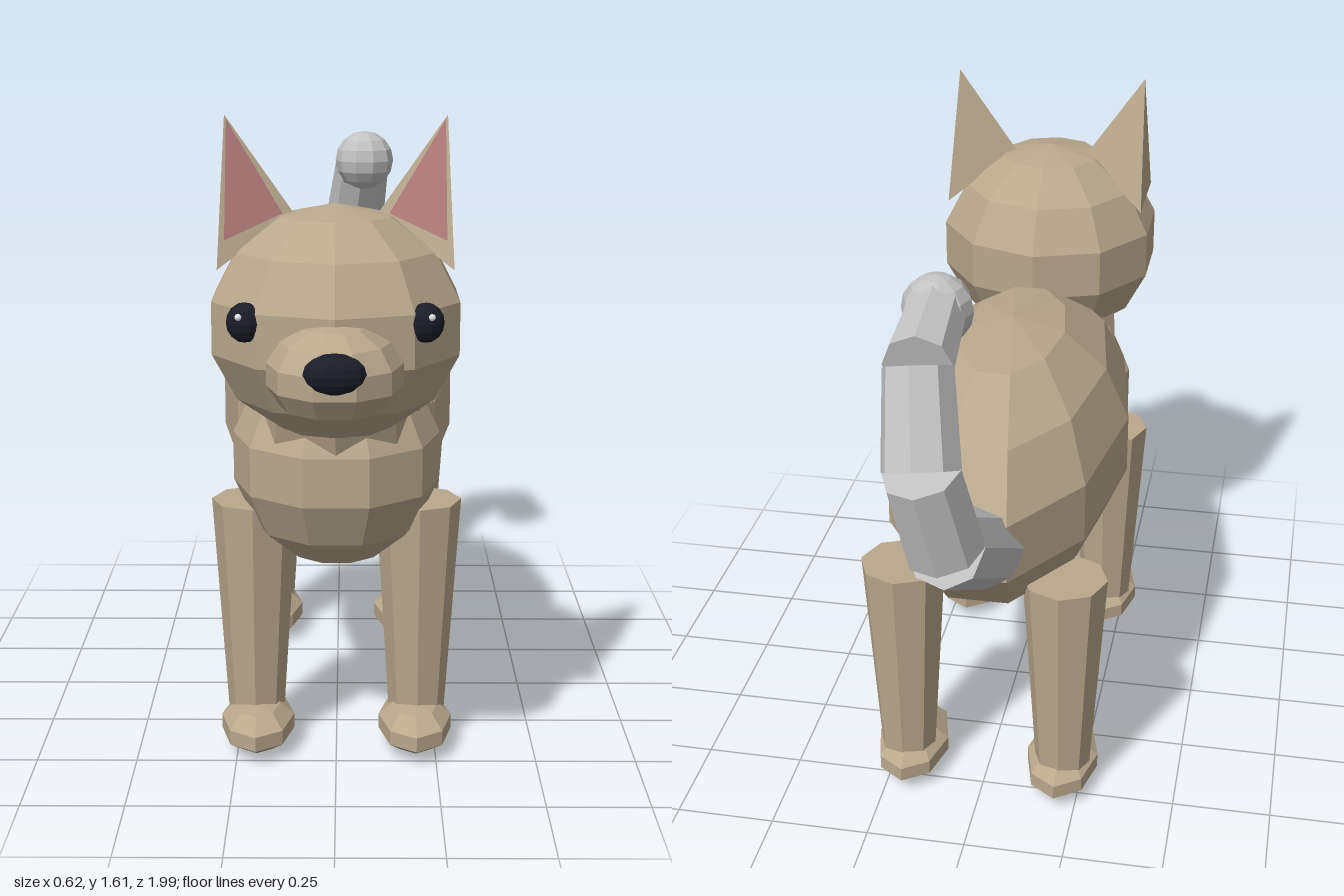
import * as THREE from 'three';
import { ConvexGeometry } from 'three/addons/geometries/ConvexGeometry.js';

const makeMaterial = (name, color) => {
  const m = new THREE.MeshStandardMaterial({ color });
  m.name = name;
  return m;
};

export function createModel() {
  const fur = makeMaterial('tan fur', 0xb8a88c);
  const grey = makeMaterial('grey tail', 0xc2c2c2);
  const pink = makeMaterial('pink inner ear', 0xb07a78);
  const black = makeMaterial('black', 0x1b1d28);
  const white = makeMaterial('white', 0xf4f4f4);
  for (const m of [fur, grey, pink, black]) m.flatShading = true;
  pink.side = THREE.DoubleSide;

  const model = new THREE.Group();
  model.name = 'dog';
  const add = (name, geometry, material) => {
    const mesh = new THREE.Mesh(geometry, material);
    mesh.name = name;
    model.add(mesh);
    return mesh;
  };
  // Faceted ellipsoid with its poles up and down
  const ball = (name, material, center, radii, ws = 10, hs = 7, turn = 0) => {
    const g = new THREE.SphereGeometry(1, ws, hs);
    g.rotateY(turn).scale(...radii).translate(...center);
    return add(name, g, material);
  };
  // Tapered faceted rod between two points
  const rod = (name, material, from, to, r0, r1, sides = 8) => {
    const a = new THREE.Vector3(...from), b = new THREE.Vector3(...to);
    const d = b.clone().sub(a);
    const mesh = add(name, new THREE.CylinderGeometry(r1, r0, d.length(), sides), material);
    mesh.position.copy(a).add(b).multiplyScalar(0.5);
    mesh.quaternion.setFromUnitVectors(new THREE.Vector3(0, 1, 0), d.normalize());
    return mesh;
  };

  // Torso, neck and head
  ball('body', fur, [0, 0.81, -0.06], [0.312, 0.34, 0.645]);
  ball('chest', fur, [0, 0.76, 0.36], [0.262, 0.27, 0.278]);
  rod('neck', fur, [0, 0.76, 0.36], [0, 1.02, 0.48], 0.22, 0.19);
  ball('head', fur, [0, 1.135, 0.54], [0.306, 0.275, 0.32], 10, 7, Math.PI / 2);
  ball('muzzle', fur, [0, 1.07, 0.82], [0.155, 0.115, 0.17], 10, 7);
  ball('nose', black, [0, 1.1, 0.96], [0.068, 0.046, 0.04], 10, 8);

  for (const s of [1, -1]) {
    const side = s > 0 ? 'left' : 'right';

    // Eyes with a small glint
    ball(side + 'Eye', black, [s * 0.2, 1.175, 0.77], [0.041, 0.045, 0.036], 10, 8);
    ball(side + 'EyeGlint', white, [s * 0.212, 1.192, 0.8], [0.008, 0.008, 0.008], 8, 6);

    // Three-sided ear with a pink face towards the front
    const tip = new THREE.Vector3(s * 0.255, 1.61, 0.53);
    const front = new THREE.Vector3(s * 0.268, 1.272, 0.655);
    const back = new THREE.Vector3(s * 0.268, 1.272, 0.41);
    const inner = new THREE.Vector3(s * 0.1, 1.39, 0.535);
    add(side + 'Ear', new ConvexGeometry([tip, front, back, inner]), fur);
    const normal = front.clone().sub(tip).cross(inner.clone().sub(tip)).normalize();
    if (normal.z < 0) normal.negate();
    const blend = (a, b, c) => new THREE.Vector3()
      .addScaledVector(tip, a).addScaledVector(front, b).addScaledVector(inner, c)
      .addScaledVector(normal, 0.005);
    const corners = [blend(0.96, 0.02, 0.02), blend(0.16, 0.77, 0.07), blend(0.04, 0.11, 0.85)];
    const face = new THREE.BufferGeometry().setFromPoints(s > 0 ? [corners[0], corners[2], corners[1]] : corners);
    face.computeVertexNormals();
    add(side + 'InnerEar', face, pink);

    // Legs and paws
    for (const [end, z] of [['Front', 0.35], ['Back', -0.47]]) {
      rod(side + end + 'Leg', fur, [s * 0.205, 0.07, z], [s * 0.205, 0.645, z], 0.07, 0.107);
      ball(side + end + 'Paw', fur, [s * 0.2, 0.063, z + 0.038], [0.097, 0.06, 0.16], 8, 5);
    }
  }

  // Curled tail: overlapping rods and a round tip
  const path = [[-0.03, 0.79, -0.6], [0.01, 0.935, -0.845], [0.045, 1.155, -0.9], [0.07, 1.355, -0.8], [0.075, 1.4, -0.59]];
  const radii = [0.1, 0.095, 0.09, 0.08, 0.07];
  for (let i = 0; i < 4; i++) {
    rod('tailSegment' + (i + 1), grey, path[i], path[i + 1], radii[i], radii[i + 1]);
  }
  ball('tailTip', grey, [0.075, 1.393, -0.583], [0.084, 0.084, 0.084], 10, 8);

  return model;
}
